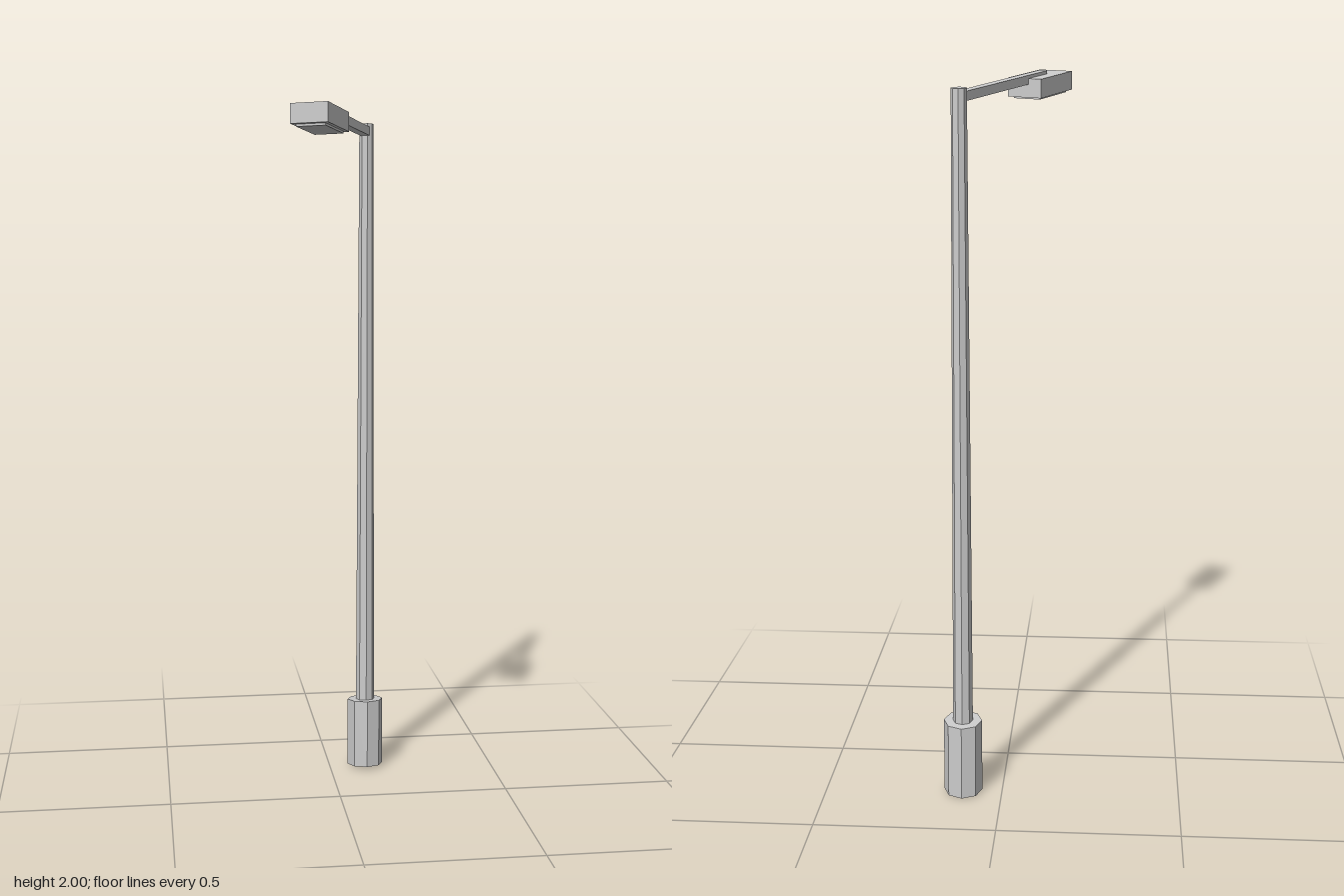
import * as THREE from 'three';

const POLE_X = 0.11, POLE_Z = -0.26; // mast axis
const TURN = -Math.PI / 8;           // heading of the arm
const SLOPE = 0.1;                   // upward slant towards the front

// Turns a flat-built geometry, moves it to the mast and slants its heights along z
function place(geometry, turn) {
  geometry.rotateY(turn).translate(POLE_X, 0, POLE_Z);
  const p = geometry.attributes.position;
  for (let i = 0; i < p.count; i++) p.setY(i, p.getY(i) + SLOPE * p.getZ(i));
  geometry.computeVertexNormals();
  return geometry;
}

// Box along the arm, from distance d0 to d1 off the mast and from height y0 to y1
function beam(width, y0, y1, d0, d1) {
  return new THREE.BoxGeometry(width, y1 - y0, d1 - d0)
    .translate(0, (y0 + y1) / 2, (d0 + d1) / 2);
}

// Eight-sided turned shape from [radius, height] pairs, listed bottom to top
function octagonal(profile) {
  return new THREE.LatheGeometry(profile.map(([r, y]) => new THREE.Vector2(r, y)), 8);
}

export function createModel() {
  const group = new THREE.Group();
  const material = new THREE.MeshStandardMaterial({
    color: 0xcccccc, flatShading: true, side: THREE.DoubleSide,
  });
  const add = (name, geometry, turn) => {
    const mesh = new THREE.Mesh(place(geometry, turn), material);
    mesh.name = name;
    group.add(mesh);
  };

  // Footing sleeve, open underneath
  add('base', octagonal([[0.054, 0.0315], [0.054, 0.241], [0.026, 0.241]]), 0);
  // Tapered mast with a closed top
  add('pole', octagonal([[0.028, 0.235], [0.021, 1.988], [0, 1.988]]), 0);
  // Arm reaching over the lamp housing
  add('arm', beam(0.026, 1.953, 1.978, 0, 0.51), TURN);
  // Lamp housing and the lens under it
  add('lampHousing', beam(0.102, 1.917, 1.969, 0.388, 0.598), TURN);
  add('lampLens', beam(0.08, 1.911, 1.918, 0.405, 0.581), TURN);

  return group;
}
